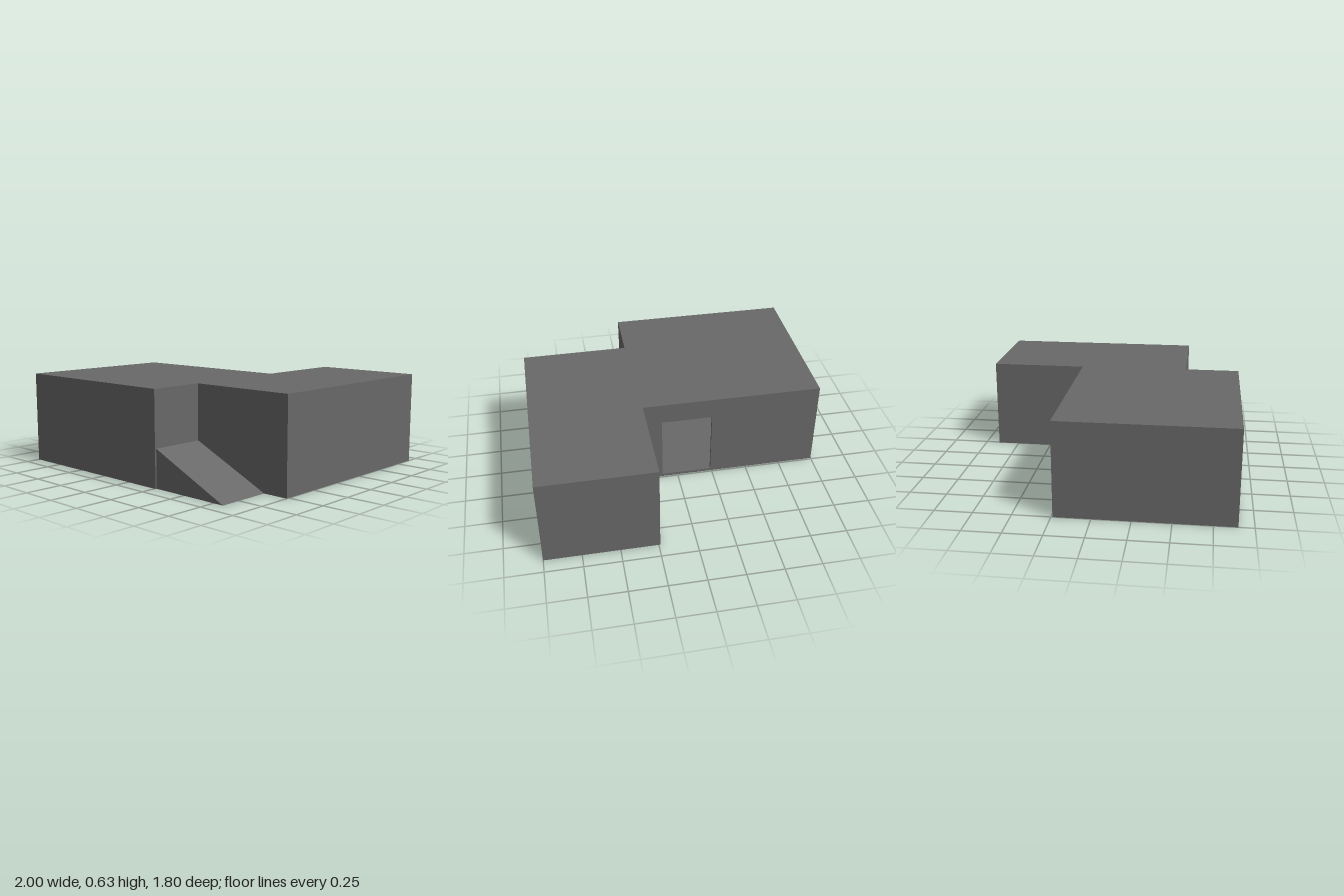
import * as THREE from 'three';

const T = 0.018;        // wall thickness
const TOP = 0.63;       // overall height
const SLAB = 0.02;      // roof and floor thickness
const DOOR = 0.485;     // door height

const concrete = new THREE.MeshStandardMaterial({ color: 0x686868 });
concrete.name = 'concreteGrey';
const concreteThin = new THREE.MeshStandardMaterial({ color: 0x686868, side: THREE.DoubleSide });
concreteThin.name = 'concreteGreyThin';

export function createModel() {
  const group = new THREE.Group();
  group.name = 'building';

  const add = (name, geometry, material = concrete) => {
    const mesh = new THREE.Mesh(geometry, material);
    mesh.name = name;
    group.add(mesh);
  };

  // Box given by its extents
  const block = (name, x0, x1, y0, y1, z0, z1) => {
    const g = new THREE.BoxGeometry(x1 - x0, y1 - y0, z1 - z0);
    g.translate((x0 + x1) / 2, (y0 + y1) / 2, (z0 + z1) / 2);
    add(name, g);
  };

  // Flat slab from a plan outline of [x, z] points
  const slab = (name, plan, y) => {
    const shape = new THREE.Shape(plan.map(([x, z]) => new THREE.Vector2(x, -z)));
    const g = new THREE.ExtrudeGeometry(shape, { depth: SLAB, bevelEnabled: false });
    g.rotateX(-Math.PI / 2);
    g.translate(0, y, 0);
    add(name, g);
  };

  // Roof over the whole plan, and floor with an opening beside the ramp
  const back = [[-1, -0.24], [0.24, -0.24], [0.24, -0.9], [1, -0.9], [1, 0.52]];
  slab('roof', [...back, [0.26, 0.52], [0.26, 0.9], [-1, 0.9]], TOP - SLAB);
  slab('floor', [...back, [-0.51, 0.525], [-0.51, 0.9], [-1, 0.9]], 0);

  // Outer walls
  const h = TOP - SLAB;
  block('frontWall', -1, 0.26, 0, h, 0.9 - T, 0.9);
  block('rightWall', -1, -1 + T, 0, h, -0.24, 0.9);
  block('leftWall', 1 - T, 1, 0, h, -0.9, 0.52);
  block('wingFrontWall', 0.26, 1, 0, h, 0.52 - T, 0.52);
  block('wingBackWall', 0.24, 1, 0, h, -0.9, -0.9 + T);
  block('wingRightWall', 0.24, 0.24 + T, 0, h, -0.9, -0.24);
  block('wallAboveRamp', 0.26 - T, 0.26, 0.25, h, 0.52 - T, 0.9);

  // Back wall with a doorway
  block('backWall', -1, -0.24, 0, h, -0.24, -0.24 + T);
  block('backWall', 0.11, 0.26, 0, h, -0.24, -0.24 + T);
  block('backLintel', -0.24, 0.11, DOOR, h, -0.24, -0.24 + T);
  block('backSill', -0.24, 0.11, 0, SLAB, -0.24, -0.24 + T);

  // Partition between the two rooms, with a doorway
  block('partition', 0.24, 0.24 + T, 0, h, -0.24, -0.07);
  block('partition', 0.24, 0.24 + T, 0, h, 0.3, 0.52);
  block('partitionLintel', 0.24, 0.24 + T, DOOR, h, -0.07, 0.3);

  // Ramp: sloping deck and a triangular front side, open underneath
  const deck = new THREE.PlaneGeometry(Math.hypot(0.565, 0.255), 0.37);
  deck.rotateX(-Math.PI / 2);
  deck.rotateZ(-Math.atan2(0.255, 0.565));
  deck.translate(0.5425, 0.1275, 0.705);
  add('rampDeck', deck, concreteThin);

  const side = new THREE.ShapeGeometry(new THREE.Shape([
    new THREE.Vector2(0.26, 0), new THREE.Vector2(0.825, 0), new THREE.Vector2(0.26, 0.255),
  ]));
  side.translate(0, 0, 0.89);
  add('rampSide', side, concreteThin);

  return group;
}
